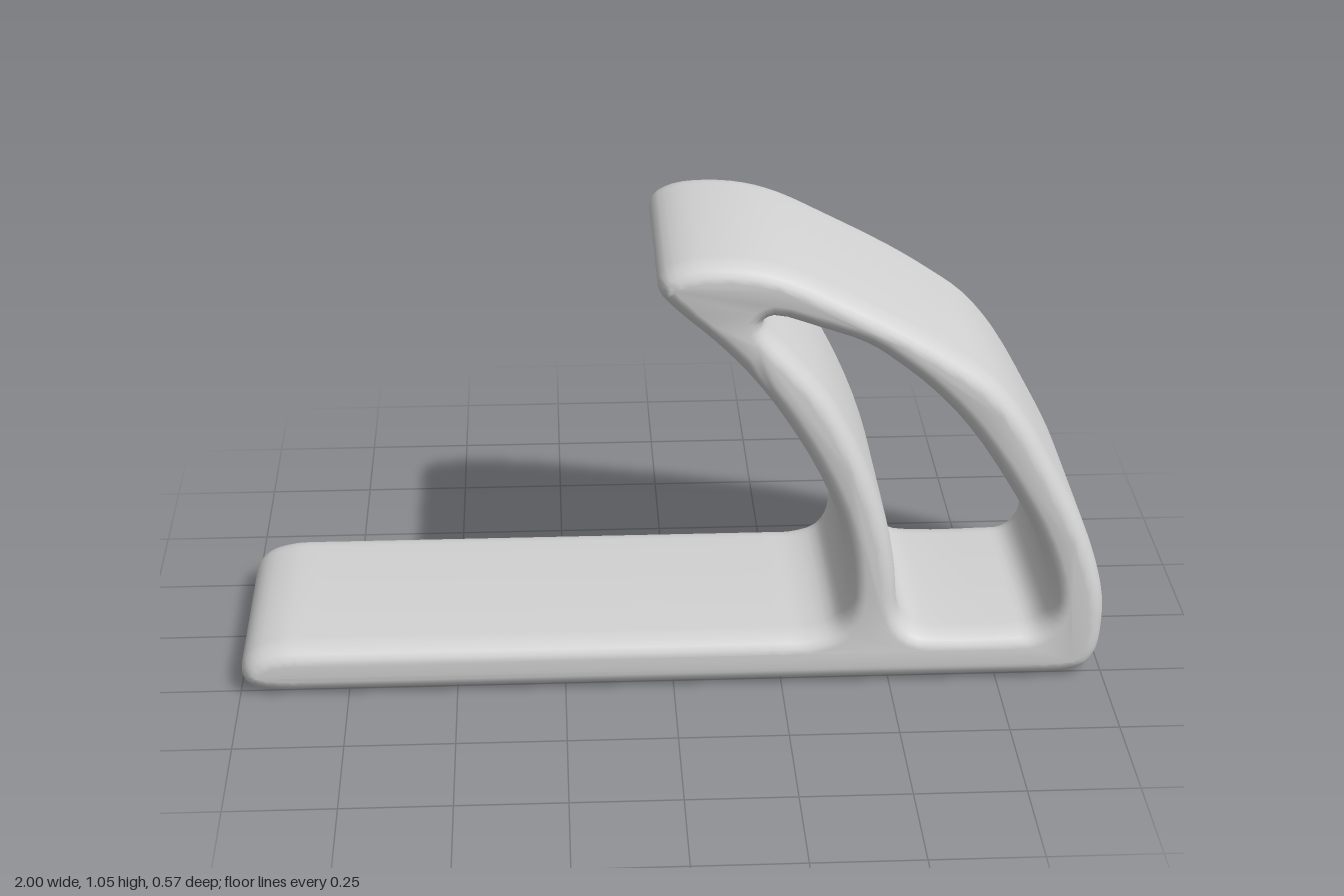
import * as THREE from 'three';
import { toCreasedNormals } from 'three/addons/utils/BufferGeometryUtils.js';

// Smooth closed loop through a few profile points
function smoothLoop(points) {
  const curve = new THREE.CatmullRomCurve3(points.map(([x, y]) => new THREE.Vector3(x, y, 0)), true);
  return curve.getPoints(points.length * 3).slice(0, -1).map((p) => new THREE.Vector2(p.x, p.y));
}

export function createModel() {
  const group = new THREE.Group();
  const grey = new THREE.MeshStandardMaterial({ color: 0xd2d2d2 });
  grey.name = 'light grey';

  // Flat foot, curved outer arch, pointed tip and inner strut in one outline
  const shape = new THREE.Shape(smoothLoop([
    [-0.93, 0.003], [-0.88, 0], [-0.82, 0], [0.8, 0], [0.86, 0], [0.92, 0.004], [0.965, 0.02],
    [0.99, 0.06], [0.998, 0.12], [0.995, 0.2], [0.973, 0.29], [0.932, 0.4], [0.868, 0.525],
    [0.785, 0.67], [0.71, 0.76], [0.63, 0.82], [0.53, 0.884], [0.38, 0.965], [0.27, 1.02],
    [0.19, 1.045], [0.1, 1.054], [0.02, 1.046], [-0.027, 1.02], [-0.033, 0.985], [0, 0.942],
    [0.09, 0.86], [0.17, 0.775], [0.25, 0.665], [0.33, 0.525], [0.38, 0.4], [0.4, 0.29],
    [0.398, 0.19], [0.37, 0.14], [0.31, 0.121], [0.25, 0.12], [0.19, 0.12], [-0.81, 0.12],
    [-0.87, 0.12], [-0.91, 0.117], [-0.965, 0.1], [-0.994, 0.07], [-0.996, 0.035], [-0.97, 0.012],
  ]));

  // Opening between strut and arch
  shape.holes.push(new THREE.Path(smoothLoop([
    [0.2, 0.908], [0.22, 0.92], [0.32, 0.89], [0.425, 0.85], [0.5, 0.798], [0.58, 0.73], [0.665, 0.635],
    [0.757, 0.495], [0.837, 0.345], [0.873, 0.22], [0.867, 0.16], [0.835, 0.125], [0.78, 0.12],
    [0.61, 0.12], [0.555, 0.13], [0.522, 0.17], [0.511, 0.27], [0.487, 0.4], [0.43, 0.565],
    [0.35, 0.72], [0.27, 0.82], [0.215, 0.88],
  ])));

  // Rounded sideways extrusion
  const bevelSize = 0.038, bevelThickness = 0.065, width = 0.568;
  const depth = width - 2 * bevelThickness;
  const geometry = new THREE.ExtrudeGeometry(shape, {
    depth, bevelEnabled: true, bevelSize, bevelThickness, bevelOffset: -bevelSize, bevelSegments: 5, steps: 1,
  });
  geometry.translate(0, 0, -depth / 2);
  const body = new THREE.Mesh(toCreasedNormals(geometry, 0.9), grey);
  body.name = 'curvedStand';
  group.add(body);
  return group;
}
